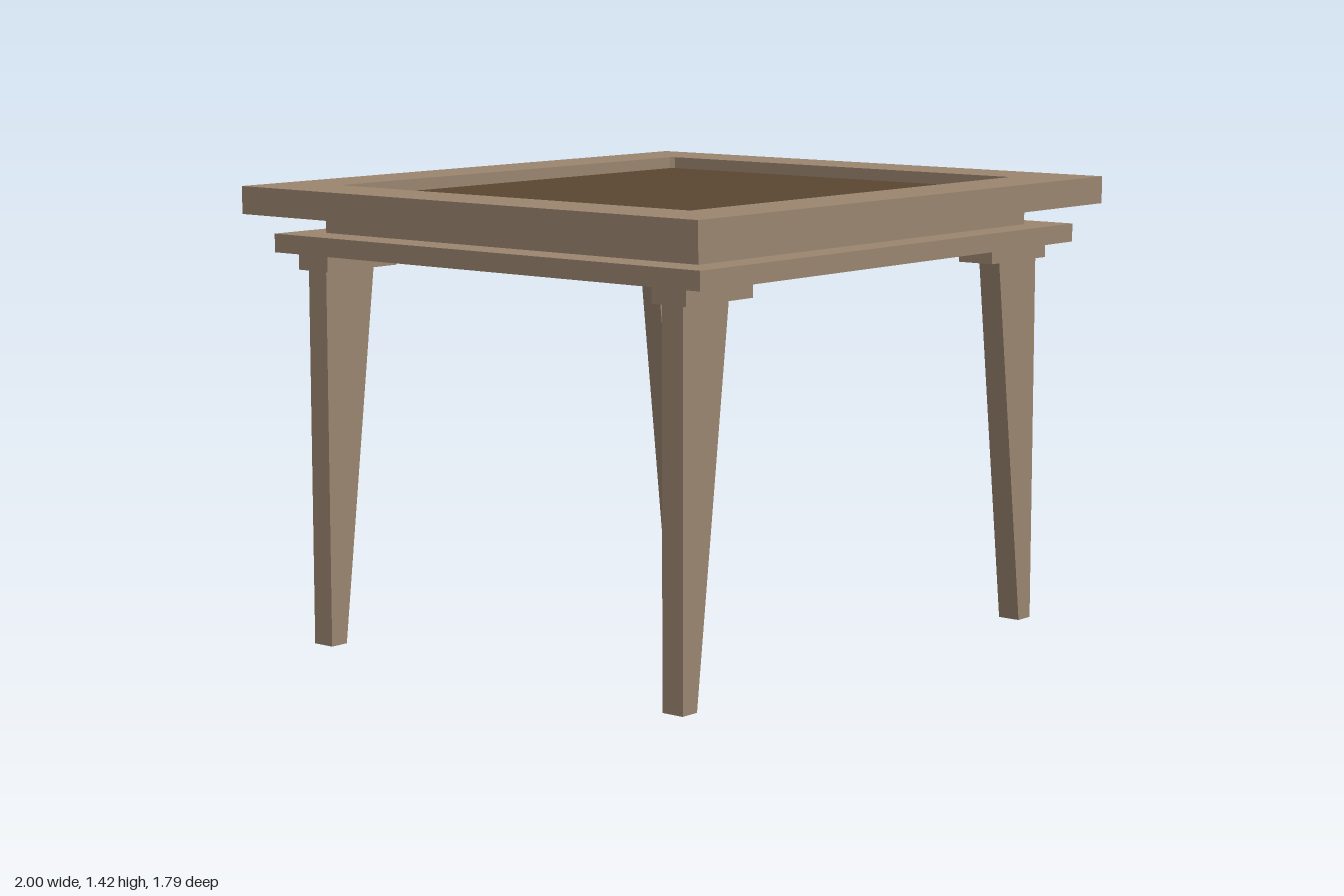
import * as THREE from 'three';

export function createModel() {
  const table = new THREE.Group();
  table.name = 'table';

  const wood = new THREE.MeshStandardMaterial({ color: 0x9b8570 });
  wood.name = 'light wood';
  const inlay = new THREE.MeshStandardMaterial({ color: 0x5a4731 });
  inlay.name = 'dark inlay';

  const add = (parent, name, geometry, material) => {
    const mesh = new THREE.Mesh(geometry, material);
    mesh.name = name;
    parent.add(mesh);
    return mesh;
  };

  // box given by its width, depth and vertical span
  const slab = (parent, name, w, d, y0, y1, material, x = 0, z = 0) => {
    const mesh = add(parent, name, new THREE.BoxGeometry(w, y1 - y0, d), material);
    mesh.position.set(x, (y0 + y1) / 2, z);
    return mesh;
  };

  // rectangle with clipped corners, as a list of points
  const clipped = (hx, hz, c) => [
    [hx, -hz + c], [hx, hz - c], [hx - c, hz], [-hx + c, hz],
    [-hx, hz - c], [-hx, -hz + c], [-hx + c, -hz], [hx - c, -hz],
  ].map(([x, y]) => new THREE.Vector2(x, y));

  // top frame with a recessed opening
  const frameShape = new THREE.Shape(
    [[-1, -0.897], [1, -0.897], [1, 0.897], [-1, 0.897]].map(([x, y]) => new THREE.Vector2(x, y)));
  frameShape.holes.push(new THREE.Path(clipped(0.787, 0.692, 0.012).reverse()));
  const frame = new THREE.ExtrudeGeometry(frameShape, { depth: 0.085, bevelEnabled: false });
  frame.rotateX(-Math.PI / 2).translate(0, 1.332, 0);
  add(table, 'topFrame', frame, wood);

  // dark panel set into the frame
  slab(table, 'inlayPanel', 1.574, 1.384, 1.335, 1.38, inlay);

  // neck and apron under the top
  slab(table, 'neck', 1.608, 1.474, 1.268, 1.333, wood);
  slab(table, 'apron', 1.844, 1.68, 1.213, 1.27, wood);

  // legs: straight outside, tapering on the inner side
  const legs = new THREE.Group();
  legs.name = 'legs';
  legs.position.set(-0.003, 0, -0.002);
  table.add(legs);
  for (const sx of [1, -1]) {
    for (const sz of [1, -1]) {
      const label = (sz > 0 ? 'front' : 'back') + (sx > 0 ? 'Left' : 'Right');
      const points = [[0.808, 0], [0.871, 0], [0.871, 1.163], [0.669, 1.163]];
      const shape = new THREE.Shape(points.map(([x, y]) => new THREE.Vector2(sx * x, y)));
      const leg = new THREE.ExtrudeGeometry(shape, { depth: 0.075, bevelEnabled: false });
      leg.translate(0, 0, sz * 0.703 - 0.0375);
      add(legs, label + 'Leg', leg, wood);
      slab(legs, label + 'LegPad', 0.295, 0.124, 1.162, 1.215, wood, sx * 0.74, sz * 0.704);
    }
  }

  return table;
}
